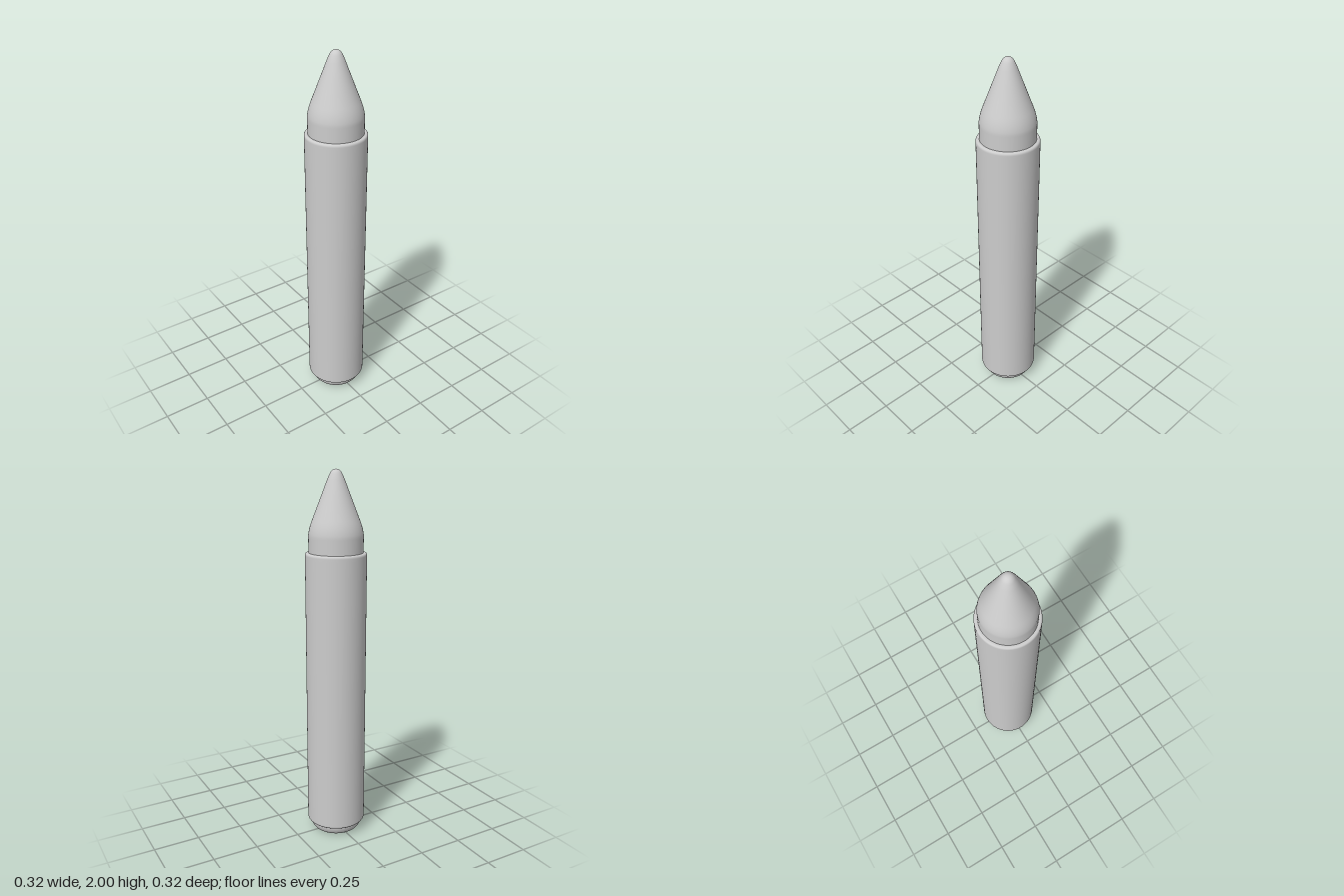
import * as THREE from 'three';

const SEGMENTS = 96;

// Points of a quarter-like bend from a to b, pulled towards corner c
function bend(a, c, b, steps = 8) {
  const v = ([x, y]) => new THREE.Vector2(x, y);
  return new THREE.QuadraticBezierCurve(v(a), v(c), v(b)).getPoints(steps);
}

function turned(name, points, material) {
  const mesh = new THREE.Mesh(new THREE.LatheGeometry(points, SEGMENTS), material);
  mesh.name = name;
  return mesh;
}

export function createModel() {
  const grey = new THREE.MeshStandardMaterial({ color: 0xcccccc });
  grey.name = 'plain grey';
  const p = (x, y) => new THREE.Vector2(x, y);
  const group = new THREE.Group();
  group.name = 'crayon';

  // Core stick: rounded butt, straight shaft hidden by the sleeve
  group.add(turned('core', [
    p(0, 0), p(0.09, 0),
    ...bend([0.105, 0], [0.138, 0.006], [0.143, 0.05]),
    p(0.143, 0.08), p(0.143, 1.55),
  ], grey));

  // Writing tip: short collar, shoulder curve, straight cone, rounded point
  group.add(turned('tip', [
    p(0.143, 1.55), p(0.143, 1.66),
    ...bend([0.143, 1.67], [0.14, 1.705], [0.122, 1.75]),
    p(0.0985, 1.81), p(0.075, 1.87),
    ...bend([0.046, 1.945], [0.038, 1.965], [0.029, 1.982], 5),
    ...bend([0.026, 1.986], [0.016, 2], [0, 2], 7),
  ], grey));

  // Wrapper sleeve with softly rounded rims
  group.add(turned('sleeve', [
    p(0.14, 0.055), p(0.146, 0.055),
    ...bend([0.148, 0.055], [0.161, 0.055], [0.161, 0.07]),
    p(0.161, 0.09), p(0.161, 1.55),
    ...bend([0.161, 1.568], [0.161, 1.583], [0.148, 1.583]),
    p(0.146, 1.583), p(0.14, 1.583),
  ], grey));

  return group;
}
